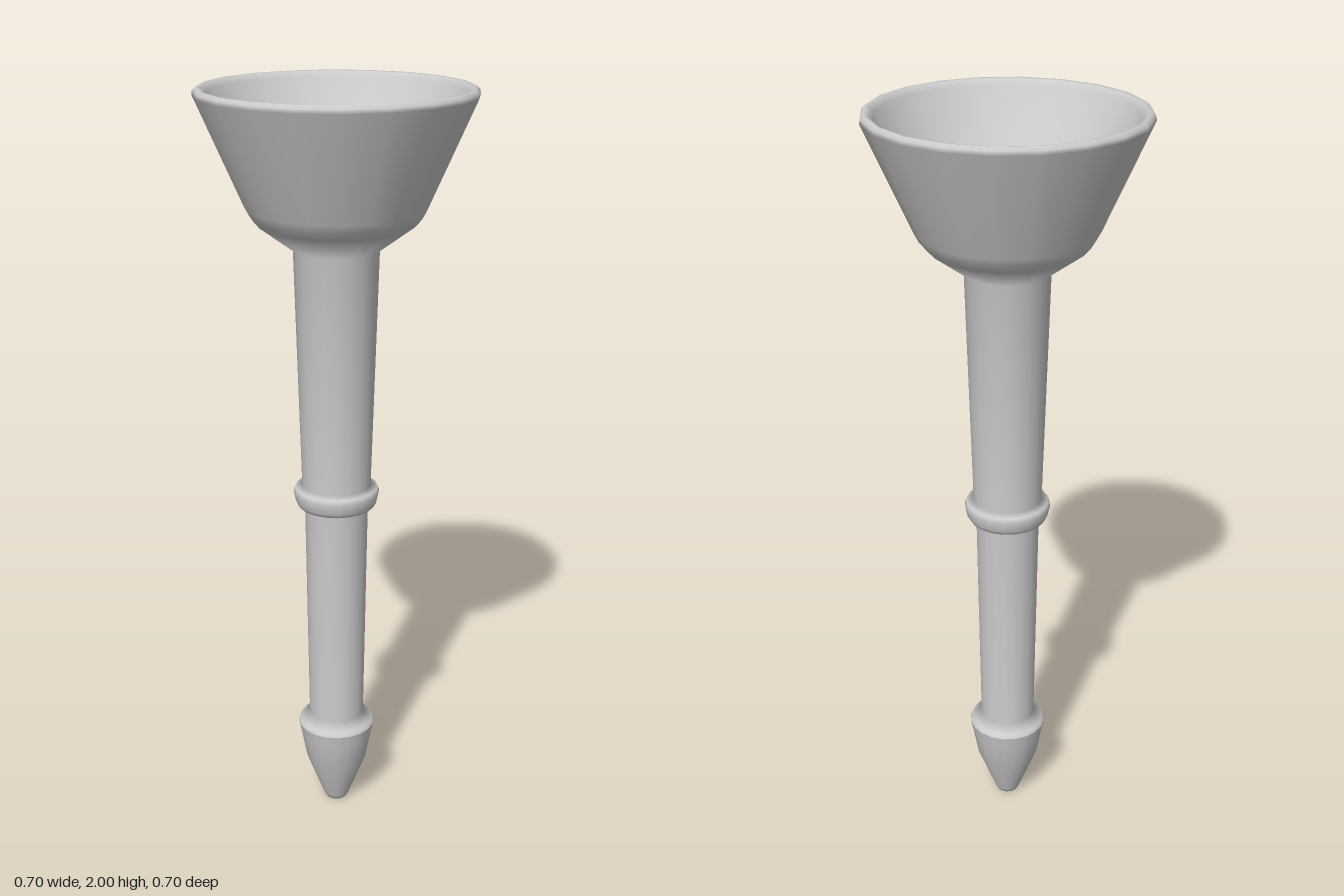
import * as THREE from 'three';

const SIDES = 20;

export function createModel() {
  const group = new THREE.Group();
  const material = new THREE.MeshStandardMaterial({ color: 0xcccccc, side: THREE.DoubleSide });

  // Turns a [radius, height] profile, listed from the bottom up the outside
  const turn = (name, profile) => {
    const points = profile.map(([r, y]) => new THREE.Vector2(r, y));
    const mesh = new THREE.Mesh(new THREE.LatheGeometry(points, SIDES), material);
    mesh.name = name;
    group.add(mesh);
  };

  // Pointed foot with a blunt end
  turn('tip', [
    [0, 0], [0.03, 0], [0.036, 0.012], [0.085, 0.14], [0.1, 0.22], [0.106, 0.25],
  ]);

  // Stem: foot shoulder, lower shaft, rounded collar, upper shaft, flare under the cup
  turn('stem', [
    [0.106, 0.25], [0.1, 0.262], [0.075, 0.282],
    [0.084, 0.912], [0.101, 0.914], [0.108, 0.925], [0.114, 0.952], [0.109, 0.965], [0.091, 0.972],
    [0.109, 1.603], [0.2, 1.67],
  ]);

  // Hollow flared cup: outside, rim, straight inside wall, flat floor
  turn('cup', [
    [0.2, 1.67], [0.217, 1.69], [0.228, 1.71],
    [0.348, 1.982], [0.346, 1.992], [0.338, 2], [0.328, 1.998], [0.318, 1.985],
    [0.14, 1.65], [0, 1.65],
  ]);

  return group;
}
